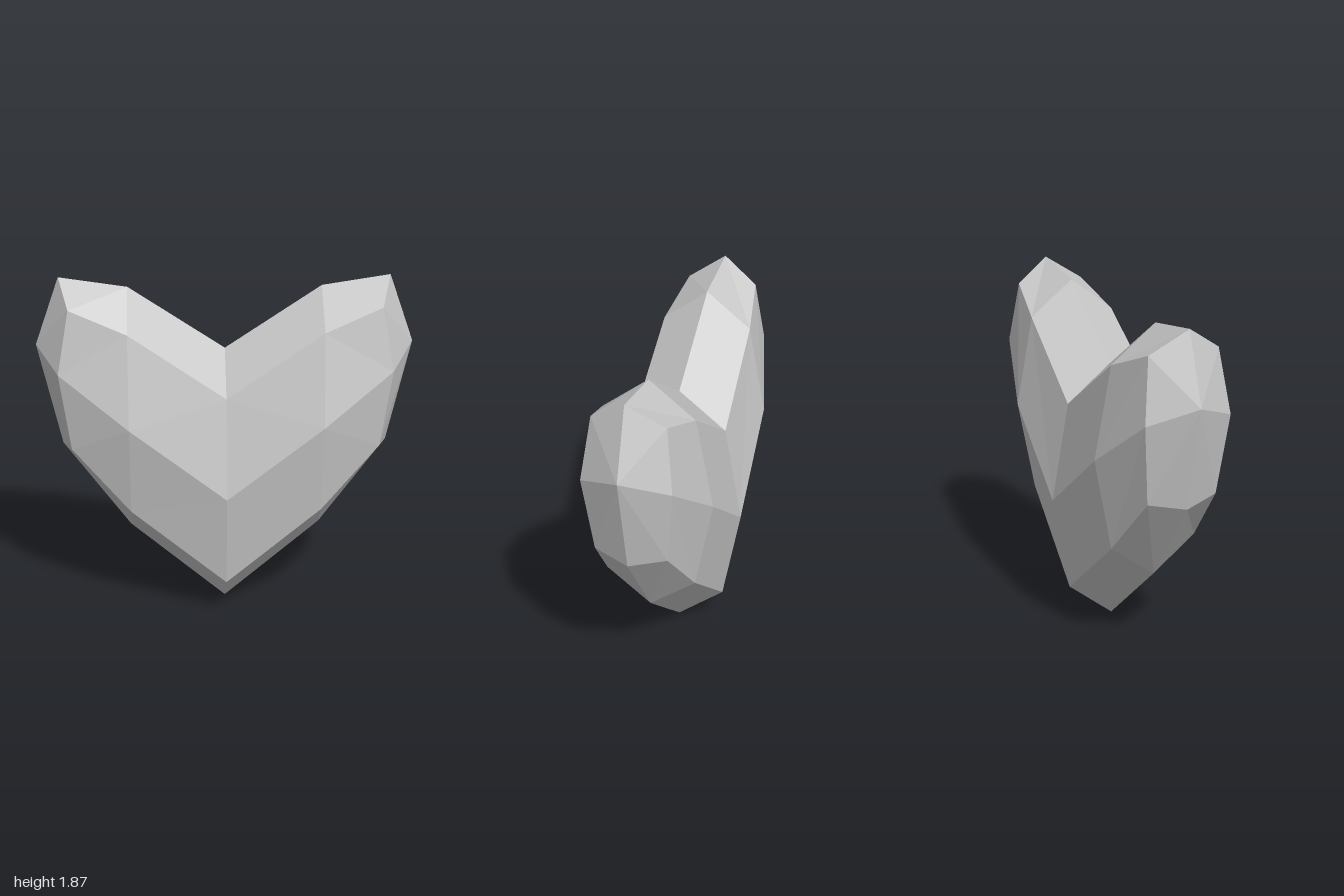
import * as THREE from 'three';

// Front half of each cross-section, top to bottom, from the centre outwards: [x, y, z]
const SECTIONS = [
  [[0, 1.47, 0], [0, 1.27, 0.255], [0, 0.735, 0.35], [0, 0.205, 0.255], [0, 0, 0]],
  [[0.51, 1.81, 0], [0.51, 1.62, 0.243], [0.51, 1.13, 0.337], [0.51, 0.63, 0.243], [0.52, 0.45, 0]],
  [[0.87, 1.865, 0], [0.813, 1.74, 0.192], [0.873, 1.405, 0.235], [0.818, 0.975, 0.192], [0.876, 0.94, 0]],
];
const TIP = [1, 1.5, 0];

// Close a half section into a ring by mirroring it to the back
function ring(half) {
  const back = half.slice(1, -1).reverse().map(([x, y, z]) => [x, y, -z]);
  return [...half, ...back];
}

function heartGeometry() {
  const positions = [];
  const rings = SECTIONS.map(ring);
  for (const side of [1, -1]) {
    const tri = (a, b, c) => {
      const corners = side > 0 ? [a, b, c] : [a, c, b];
      for (const [x, y, z] of corners) positions.push(x * side, y, z);
    };
    // Bands between neighbouring sections
    for (let s = 0; s < rings.length - 1; s++) {
      const a = rings[s], b = rings[s + 1];
      for (let i = 0; i < a.length; i++) {
        const j = (i + 1) % a.length;
        tri(a[i], a[j], b[j]);
        tri(a[i], b[j], b[i]);
      }
    }
    // Facets closing the lobe at its outer point
    const last = rings[rings.length - 1];
    last.forEach((p, i) => tri(p, last[(i + 1) % last.length], TIP));
  }
  const geometry = new THREE.BufferGeometry();
  geometry.setAttribute('position', new THREE.Float32BufferAttribute(positions, 3));
  geometry.computeVertexNormals(); // unshared corners give flat facets
  return geometry;
}

export function createModel() {
  const model = new THREE.Group();
  model.name = 'facetedHeart';
  const grey = new THREE.MeshStandardMaterial({ color: 0xc8c8c8, flatShading: true });
  grey.name = 'light grey';
  const heart = new THREE.Mesh(heartGeometry(), grey);
  heart.name = 'heart';
  model.add(heart);
  return model;
}
